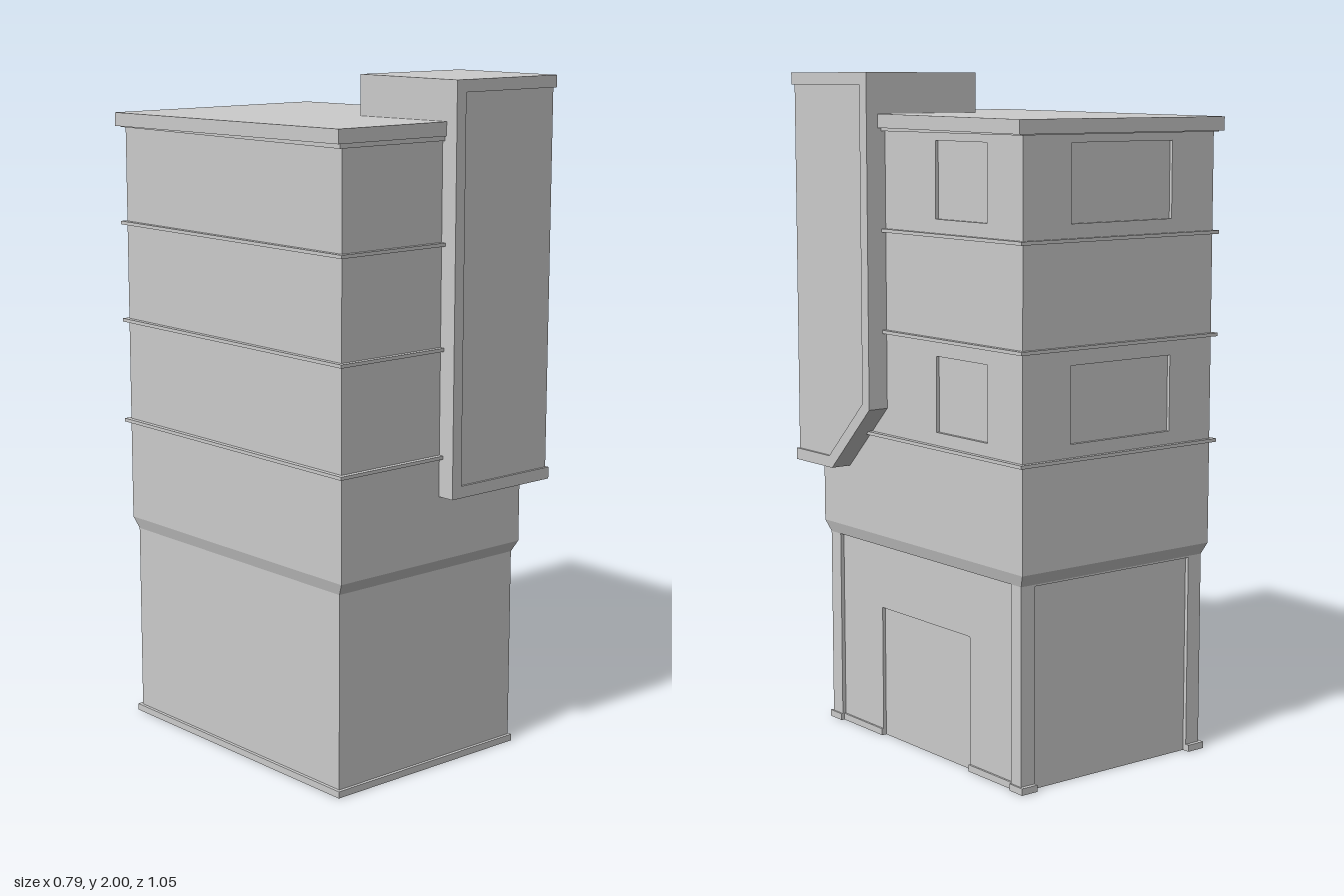
import * as THREE from 'three';

export function createModel() {
  const model = new THREE.Group();
  const material = new THREE.MeshStandardMaterial({ color: 0xcccccc, flatShading: true });

  function add(name, geometry) {
    const mesh = new THREE.Mesh(geometry, material);
    mesh.name = name;
    model.add(mesh);
    return mesh;
  }

  // Box given by its limits on each axis
  function block(name, [x0, x1], [y0, y1], [z0, z1]) {
    const g = new THREE.BoxGeometry(x1 - x0, y1 - y0, z1 - z0);
    g.translate((x0 + x1) / 2, (y0 + y1) / 2, (z0 + z1) / 2);
    return add(name, g);
  }

  const outline = (points) => points.map(([a, b]) => new THREE.Vector2(a, b));
  const rect = ([a0, a1], [b0, b1]) => [[a0, b0], [a1, b0], [a1, b1], [a0, b1]];

  // Flat sheet of wall; side walls use u = -z, back walls use u = -x
  function wall(name, side, points, holes, inner, outer) {
    const shape = new THREE.Shape(outline(points));
    holes.forEach((h) => shape.holes.push(new THREE.Path(outline(h))));
    const g = new THREE.ExtrudeGeometry(shape, { depth: outer - inner, bevelEnabled: false });
    g.translate(0, 0, inner);
    g.rotateY(side === 'right' ? Math.PI / 2 : Math.PI);
    return add(name, g);
  }

  // Wall outline with an opening that reaches the ground
  const archway = (u0, u1, top, a, b, openTop) => [
    [u0, 0.002], [a, 0.002], [a, openTop], [b, openTop], [b, 0.002], [u1, 0.002], [u1, top], [u0, top],
  ];

  // Ground floor with recessed bays on the right and back
  block('groundFloorCore', [-0.36, 0.298], [0, 0.6], [-0.478, 0.45]);
  wall('entranceBay', 'right', archway(-0.45, 0.478, 0.6, -0.195, 0.24, 0.4), [], 0.298, 0.308);
  wall('rightPillars', 'right', archway(-0.45, 0.478, 0.6, -0.4, 0.445, 0.595), [], 0.308, 0.32);
  wall('backPillars', 'back', archway(-0.32, 0.36, 0.6, -0.27, 0.31, 0.59), [], 0.478, 0.49);

  // Plinth, broken at the door and the back bay
  const low = [0, 0.02];
  block('frontPlinth', [-0.37, 0.325], low, [0.44, 0.46]);
  block('leftPlinth', [-0.37, -0.35], low, [-0.502, 0.46]);
  block('rightFrontPlinth', [0.3, 0.325], low, [0.4, 0.46]);
  block('rightBackPlinth', [0.27, 0.325], low, [-0.502, -0.445]);
  block('leftBackPlinth', [-0.37, -0.31], low, [-0.502, -0.46]);
  block('bayPlinthFront', [0.29, 0.314], low, [0.195, 0.4]);
  block('bayPlinthBack', [0.29, 0.314], low, [-0.445, -0.24]);

  // Flared band between ground floor and upper floors
  const flare = block('flaredBand', [-0.36, 0.32], [0.595, 0.63], [-0.49, 0.45]).geometry;
  const fp = flare.attributes.position;
  for (let i = 0; i < fp.count; i++) {
    if (fp.getY(i) < 0.62) continue;
    fp.setX(i, fp.getX(i) > 0 ? 0.33 : -0.37);
    fp.setZ(i, fp.getZ(i) > 0 ? 0.47 : -0.508);
  }
  flare.computeVertexNormals();

  // Upper floors with shallow window recesses
  const upper = [0.63, 1.85];
  const windowRows = [[0.98, 1.2], [1.59, 1.81]];
  block('upperFloorsCore', [-0.37, 0.32], upper, [-0.498, 0.47]);
  wall('rightWall', 'right', rect([-0.47, 0.498], upper),
    windowRows.map((row) => rect([0.115, 0.352], row)), 0.32, 0.33);
  wall('backWall', 'back', rect([-0.33, 0.37], upper),
    windowRows.map((row) => rect([-0.16, 0.21], row)), 0.498, 0.508);

  // Thin ledges between floors
  for (const y of [0.937, 1.248, 1.545]) {
    block('floorLedge', [-0.385, 0.345], [y - 0.005, y + 0.005], [-0.521, 0.485]);
  }

  // Roof slab, falling slightly to the back
  const roof = block('roofSlab', [-0.396, 0.356], [1.845, 1.885], [-0.525, 0.485]).geometry;
  const rp = roof.attributes.position;
  for (let i = 0; i < rp.count; i++) if (rp.getZ(i) < 0) rp.setY(i, rp.getY(i) - 0.01);
  roof.computeVertexNormals();
  block('roofTrim', [-0.384, 0.344], [1.832, 1.848], [-0.515, 0.478]);

  // Corner tower: body with chamfered foot, framed on its front and right faces
  const inset = 0.007, rim = 0.035, front = 0.525, right = 0.395;
  const face = front - inset;
  wall('cornerTower', 'right',
    [[-face, 0.82], [-0.33, 0.82], [-0.13, 1.02], [-0.13, 2], [-face, 2]], [], 0, right - inset);
  wall('towerSideFrame', 'right', [
    [-front, 0.82], [-0.33, 0.82], [-0.13, 1.02], [-0.13, 2], [-front, 2], [-front, 2 - rim],
    [-0.13 - rim, 2 - rim], [-0.13 - rim, 1.035], [-0.345, 0.82 + rim], [-front, 0.82 + rim],
  ], [], right - inset, right);
  block('towerFrontFrameSide', [0, rim], [0.82, 2], [face, front]);
  block('towerFrontFrameTop', [rim, right - inset], [2 - rim, 2], [face, front]);
  block('towerFrontFrameBottom', [rim, right - inset], [0.82, 0.82 + rim], [face, front]);

  return model;
}
